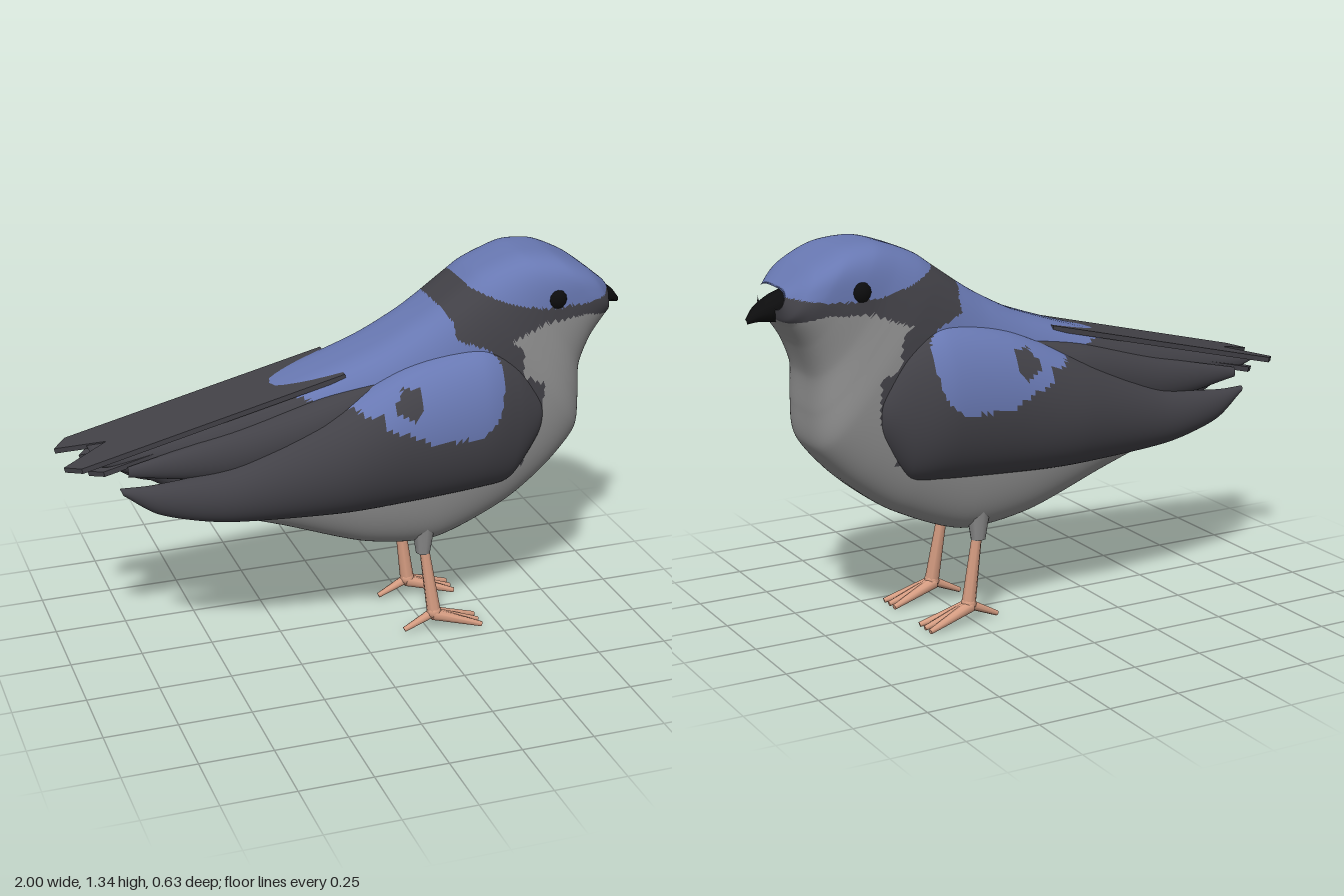
import * as THREE from 'three';

const mat = (name, color) => {
  const m = new THREE.MeshStandardMaterial({ color });
  m.name = name;
  return m;
};

const spow = (v, e) => Math.sign(v) * Math.pow(Math.abs(v), e);

// Is (x, y) inside a polygon of [x, y] corners?
function inside(poly, x, y) {
  let hit = false;
  for (let i = 0, j = poly.length - 1; i < poly.length; j = i++) {
    const [xi, yi] = poly[i], [xj, yj] = poly[j];
    if ((yi > y) !== (yj > y) && x < (xj - xi) * (y - yi) / (yj - yi) + xi) hit = !hit;
  }
  return hit;
}

// Loft through sections [topX, topY, bottomX, bottomY, halfWidth, zCentre], listed tail to head.
// paint(x, y) picks the material index of each face.
function loft(sections, opts = {}) {
  const { nu = 24, nv = 24, eTop = 1, eBottom = 1, eSide = 1, inner = 1, side = 1, paint = () => 0 } = opts;
  const top = new THREE.CatmullRomCurve3(sections.map(s => new THREE.Vector3(s[0], s[1], s[4])), false, 'catmullrom', 0.4);
  const bottom = new THREE.CatmullRomCurve3(sections.map(s => new THREE.Vector3(s[2], s[3], s[5] || 0)), false, 'catmullrom', 0.4);
  const pos = [], faces = [];
  for (let i = 0; i <= nu; i++) {
    const t = top.getPoint(i / nu), b = bottom.getPoint(i / nu);
    for (let j = 0; j < nv; j++) {
      const a = j / nv * Math.PI * 2, c = Math.cos(a), s = Math.sin(a);
      const h = 0.5 + 0.5 * spow(s, s > 0 ? eTop : eBottom);
      const z = b.z + t.z * spow(c, eSide) * (c < 0 ? inner : 1);
      pos.push(b.x + (t.x - b.x) * h, b.y + (t.y - b.y) * h, z * side);
    }
  }
  for (let i = 0; i < nu; i++) for (let j = 0; j < nv; j++) {
    const k = (j + 1) % nv, a = i * nv + j, b = a + nv, d = i * nv + k, c = d + nv;
    faces.push([a, b, c], [a, c, d]);
  }
  // end caps
  for (const row of [0, nu]) {
    const centre = pos.length / 3, sum = [0, 0, 0];
    for (let j = 0; j < nv; j++) for (let n = 0; n < 3; n++) sum[n] += pos[(row * nv + j) * 3 + n] / nv;
    pos.push(...sum);
    for (let j = 0; j < nv; j++) {
      const a = row * nv + j, b = row * nv + (j + 1) % nv;
      faces.push(row ? [centre, b, a].reverse() : [centre, b, a]);
    }
  }
  // sort faces into one group per colour
  const buckets = [];
  for (const f of faces) {
    const x = (pos[f[0] * 3] + pos[f[1] * 3] + pos[f[2] * 3]) / 3;
    const y = (pos[f[0] * 3 + 1] + pos[f[1] * 3 + 1] + pos[f[2] * 3 + 1]) / 3;
    const m = paint(x, y);
    (buckets[m] = buckets[m] || []).push(...(side > 0 ? f : [f[0], f[2], f[1]]));
  }
  const geo = new THREE.BufferGeometry(), index = [];
  geo.setAttribute('position', new THREE.Float32BufferAttribute(pos, 3));
  buckets.forEach((list, m) => {
    geo.addGroup(index.length, list.length, m);
    for (const v of list) index.push(v);
  });
  geo.setIndex(index);
  geo.computeVertexNormals();
  return geo;
}

// Plumage regions in side profile
const BLUE_BACK = [[-0.3, 1.3], [-0.3, 0.94], [-0.2, 0.945], [-0.16, 0.92], [-0.05, 0.92], [-0.02, 0.9], [0.03, 0.9],
  [0.04, 0.85], [0.1, 0.84], [0.2, 0.79], [0.38, 0.79], [0.44, 0.85], [0.465, 0.95], [0.46, 1.03], [0.42, 1.065],
  [0.32, 1.1], [0.32, 1.15], [0.29, 1.2], [0.3, 1.3]];
const BLUE_CAP = [[0.39, 1.5], [0.39, 1.255], [0.5, 1.21], [0.62, 1.18], [0.78, 1.18], [0.93, 1.2], [1, 1.5]];
const GREY_FRONT = [[1, 1.11], [0.9, 1.115], [0.8, 1.14], [0.65, 1.13], [0.51, 1.08], [0.55, 1.05], [0.56, 0.95], [0.63, 0.92],
  [0.63, 0.78], [0.58, 0.72], [0.57, 0.62], [0.5, 0.6], [-0.4, 0.6], [-0.45, 0.4], [0.2, 0.1], [1, 0.2]];
const WING_SPOT = [[0.08, 0.9], [0.08, 0.93], [0.11, 0.975], [0.17, 0.975], [0.165, 0.9], [0.14, 0.875]];

export function createModel() {
  const bird = new THREE.Group();
  bird.name = 'bird';
  const dark = mat('charcoal feathers', 0x424147), blue = mat('blue feathers', 0x6878b2);
  const grey = mat('grey belly', 0x8e8e8e), black = mat('black', 0x0d0d0e), skin = mat('leg skin', 0xd69d82);
  const plumage = [dark, blue, grey];
  const add = (name, geo, material, parent = bird) => {
    const m = new THREE.Mesh(geo, material);
    m.name = name;
    parent.add(m);
    return m;
  };

  // Body and head in one skin
  add('body', loft([
    [-0.9, 0.80, -0.9, 0.77, 0.09], [-0.7, 0.85, -0.7, 0.68, 0.12], [-0.5, 0.9, -0.52, 0.55, 0.155],
    [-0.22, 0.97, -0.25, 0.455, 0.19], [0.05, 1.06, 0.03, 0.355, 0.21], [0.2, 1.135, 0.28, 0.33, 0.215],
    [0.28, 1.185, 0.53, 0.43, 0.22], [0.33, 1.22, 0.69, 0.55, 0.222], [0.38, 1.255, 0.8, 0.68, 0.22],
    [0.43, 1.29, 0.812, 0.8, 0.21], [0.5, 1.32, 0.81, 0.92, 0.2], [0.59, 1.345, 0.845, 1.02, 0.197],
    [0.7, 1.335, 0.89, 1.09, 0.19], [0.81, 1.285, 0.91, 1.115, 0.165], [0.9, 1.215, 0.918, 1.15, 0.1],
  ], {
    nu: 140, nv: 128, eTop: 0.75, eBottom: 0.8, eSide: 0.55,
    paint: (x, y) => inside(BLUE_CAP, x, y) || inside(BLUE_BACK, x, y) ? 1 : inside(GREY_FRONT, x, y) ? 2 : 0,
  }), plumage);

  // Folded wings, eyes
  for (const side of [1, -1]) {
    const label = side > 0 ? 'left' : 'right';
    add(label + 'Wing', loft([
      [-0.83, 0.705, -0.82, 0.68, 0.015, 0.135], [-0.7, 0.71, -0.7, 0.6, 0.04, 0.15], [-0.45, 0.75, -0.48, 0.55, 0.075, 0.165],
      [-0.1, 0.91, -0.1, 0.53, 0.138, 0.17], [0.15, 1.02, 0.15, 0.535, 0.142, 0.17], [0.4, 1.07, 0.4, 0.55, 0.14, 0.17],
      [0.53, 1.01, 0.52, 0.57, 0.105, 0.17], [0.62, 0.9, 0.61, 0.69, 0.065, 0.165], [0.65, 0.84, 0.64, 0.75, 0.02, 0.17],
    ], {
      nu: 100, nv: 80, inner: 0.3, side,
      paint: (x, y) => inside(BLUE_BACK, x, y) && !inside(WING_SPOT, x, y) ? 1 : 0,
    }), plumage);
    add(label + 'InnerFeathers', loft([
      [-0.8, 0.775, -0.8, 0.74, 0.01, 0.13], [-0.45, 0.855, -0.45, 0.69, 0.055, 0.135],
      [-0.15, 0.94, -0.15, 0.75, 0.075, 0.15], [0.05, 0.98, 0.05, 0.8, 0.05, 0.16],
    ], { side }), dark);

    const eye = add(label + 'Eye', new THREE.SphereGeometry(1, 12, 8), black);
    eye.scale.set(0.04, 0.04, 0.035);
    eye.position.set(0.68, 1.205, side * 0.176);
  }

  // Notched tail made of two layered plates
  const tail = (name, length, half, y, angle) => {
    const s = new THREE.Shape([[0.15, -half], [0.15, half], [-0.94 * length, half], [-length, half * 0.6], [-0.8 * length, 0],
      [-length, -half * 0.6], [-0.94 * length, -half]].map(([x, z]) => new THREE.Vector2(x, z)));
    const geo = new THREE.ExtrudeGeometry(s, { depth: 0.018, bevelEnabled: false });
    geo.rotateX(Math.PI / 2).rotateZ(angle).translate(-0.2, y, 0);
    add(name, geo, dark);
  };
  tail('upperTail', 0.822, 0.135, 0.973, 0.235);
  tail('lowerTail', 0.74, 0.115, 0.925, 0.235);

  // Beak
  add('beak', loft([
    [0.87, 1.205, 0.88, 1.1, 0.05], [0.91, 1.19, 0.91, 1.1, 0.053], [0.96, 1.16, 0.96, 1.105, 0.036], [0.997, 1.115, 0.993, 1.1, 0.008],
  ], { nu: 9, nv: 10 }), black);

  // Tapered limb between two points
  const limb = (name, a, b, ra, rb, material, parent) => {
    const p = new THREE.Vector3(...a), q = new THREE.Vector3(...b);
    const m = add(name, new THREE.CylinderGeometry(rb, ra, p.distanceTo(q), 8), material, parent);
    m.position.copy(p).lerp(q, 0.5);
    m.quaternion.setFromUnitVectors(new THREE.Vector3(0, 1, 0), q.sub(p).normalize());
  };

  // Legs with three front toes and one back toe
  for (const [label, hip, foot] of [['left', 0.127, 0.152], ['right', -0.127, -0.122]]) {
    const leg = new THREE.Group();
    leg.name = label + 'Leg';
    bird.add(leg);
    limb('thighTuft', [0.235, 0.42, hip], [0.235, 0.302, hip], 0.045, 0.026, grey, leg);
    limb('shank', [0.237, 0.33, hip], [0.27, 0.075, foot], 0.017, 0.025, skin, leg);
    limb('backToe', [0.275, 0.075, foot], [0.16, 0.02, foot], 0.018, 0.009, skin, leg);
    for (const spread of [-0.04, 0, 0.04])
      limb('frontToe', [0.265, 0.068, foot + spread * 0.15], [0.437, 0.016, foot + spread], 0.022, 0.009, skin, leg);
    const ankle = add('ankle', new THREE.SphereGeometry(0.027, 10, 8), skin, leg);
    ankle.position.set(0.27, 0.075, foot);
  }
  return bird;
}
